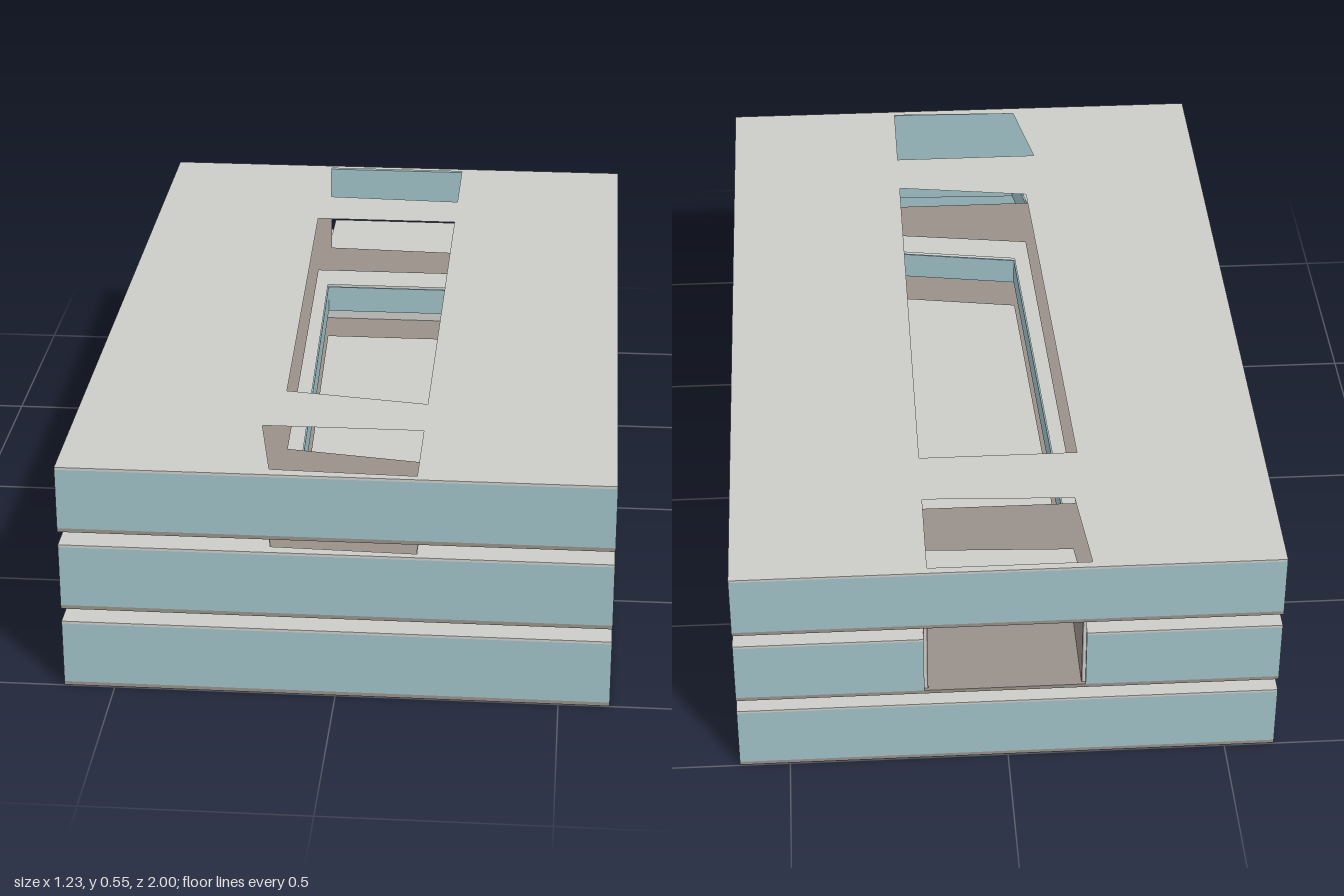
import * as THREE from 'three';

const W = 0.615, D = 0.998, FLOOR = 0.009, ROOF = 0.006, WALL = 0.01;

// Openings as [x, z] corners
const backHole = [[-0.185, -0.98], [0.18, -0.98], [0.18, -0.735], [-0.165, -0.75]];
const atrium = [[-0.185, -0.58], [0.18, -0.58], [0.18, 0.6], [-0.15, 0.55]];
const innerAtrium = [[-0.16, -0.58], [0.18, -0.58], [0.18, 0.585], [-0.12, 0.535]];
const frontHole = [[-0.185, 0.745], [0.18, 0.745], [0.18, 0.98], [-0.145, 0.97]];
const outline = [[-W, -D], [W, -D], [W, D], [-W, D]];
// Footprint with a notch at the back for the shaft
const SX0 = -0.175, SX1 = 0.19, SZ = -0.71;
const notched = [[-W, -D], [SX0, -D], [SX0, SZ], [SX1, SZ], [SX1, -D], [W, -D], [W, D], [-W, D]];

export function createModel() {
  const model = new THREE.Group();
  model.name = 'building';
  const mat = (name, color) => {
    const m = new THREE.MeshStandardMaterial({ color });
    m.name = name;
    return m;
  };
  const roofGray = mat('roof gray', 0xcbccc8);
  const glassTeal = mat('glass teal', 0x9fc0c6);
  const floorBrown = mat('floor brown gray', 0x989089);

  const add = (parent, name, geometry, material) => {
    const mesh = new THREE.Mesh(geometry, material);
    mesh.name = name;
    parent.add(mesh);
    return mesh;
  };
  const box = (parent, name, material, x0, x1, y0, y1, z0, z1) => {
    const mesh = add(parent, name, new THREE.BoxGeometry(x1 - x0, y1 - y0, z1 - z0), material);
    mesh.position.set((x0 + x1) / 2, (y0 + y1) / 2, (z0 + z1) / 2);
  };
  const toPoints = (pts) => pts.map(([x, z]) => new THREE.Vector2(x, -z));
  const slab = (parent, name, material, shapePts, holes, y, depth) => {
    const shape = new THREE.Shape(toPoints(shapePts));
    for (const h of holes) shape.holes.push(new THREE.Path(toPoints(h)));
    const geometry = new THREE.ExtrudeGeometry(shape, { depth, bevelEnabled: false });
    geometry.rotateX(-Math.PI / 2);
    add(parent, name, geometry, material).position.y = y;
  };
  // Thin wall following the edge of an opening
  const lining = (parent, name, material, pts, y0, y1) => {
    pts.forEach(([xa, za], i) => {
      const [xb, zb] = pts[(i + 1) % pts.length];
      const length = Math.hypot(xb - xa, zb - za);
      const mesh = add(parent, name, new THREE.BoxGeometry(length, y1 - y0, 0.004), material);
      mesh.position.set((xa + xb) / 2, (y0 + y1) / 2, (za + zb) / 2);
      mesh.rotation.y = -Math.atan2(zb - za, xb - xa);
    });
  };

  const storeys = [
    { name: 'lowerStorey', y0: 0, y1: 0.163, floorHoles: [], roofHoles: [], shape: outline },
    { name: 'middleStorey', y0: 0.195, y1: 0.355, floorHoles: [innerAtrium, frontHole],
      roofHoles: [innerAtrium, frontHole], shape: notched },
    { name: 'upperStorey', y0: 0.387, y1: 0.545, floorHoles: [backHole, atrium, frontHole],
      roofHoles: [backHole, atrium, frontHole], shape: outline },
  ];

  for (const s of storeys) {
    const group = new THREE.Group();
    group.name = s.name;
    model.add(group);
    const a = s.y0 + FLOOR, b = s.y1 - ROOF;
    slab(group, 'floorSlab', floorBrown, outline, s.floorHoles, s.y0, FLOOR);
    slab(group, 'roofSlab', roofGray, s.shape, s.roofHoles, b, ROOF);
    // Outer walls
    box(group, 'frontWall', glassTeal, -W, W, a, b, D - WALL, D);
    for (const side of [-1, 1]) {
      const x = side * (W - WALL / 2);
      box(group, 'sideWall', glassTeal, x - WALL / 2, x + WALL / 2, a, b, -D + WALL, D - WALL);
    }
    if (s.shape === notched) {
      box(group, 'backWall', glassTeal, -W, SX0, a, b, -D, -D + WALL);
      box(group, 'backWall', glassTeal, SX1, W, a, b, -D, -D + WALL);
      // Glass around the openings
      lining(group, 'atriumGlass', glassTeal, innerAtrium, 0.28, b);
      lining(group, 'frontOpeningGlass', glassTeal, frontHole, 0.28, b);
    } else {
      box(group, 'backWall', glassTeal, -W, W, a, b, -D, -D + WALL);
    }
  }

  // Shaft, open at the back, joining the middle and upper storeys
  const shaft = new THREE.Group();
  shaft.name = 'shaft';
  model.add(shaft);
  const y0 = 0.204, y1 = 0.387, t = 0.006, zb = -0.99;
  box(shaft, 'shaftSide', roofGray, SX0, SX0 + t, y0, y1, zb, SZ);
  box(shaft, 'shaftSide', roofGray, SX1 - t, SX1, y0, y1, zb, SZ);
  box(shaft, 'shaftEnd', roofGray, SX0 + t, SX1 - t, y0, y1, SZ - t, SZ);
  box(shaft, 'shaftCap', roofGray, SX0 + t, SX1 - t, y1 - t, y1, zb, SZ - t);
  box(shaft, 'shaftInnerSide', floorBrown, SX0 + t, SX0 + t + 0.003, y0, y1 - t, zb, SZ - t);
  box(shaft, 'shaftInnerSide', floorBrown, SX1 - t - 0.003, SX1 - t, y0, y1 - t, zb, SZ - t);
  box(shaft, 'shaftInnerEnd', floorBrown, SX0 + t, SX1 - t, y0, y1 - t, SZ - t - 0.003, SZ - t);

  return model;
}
